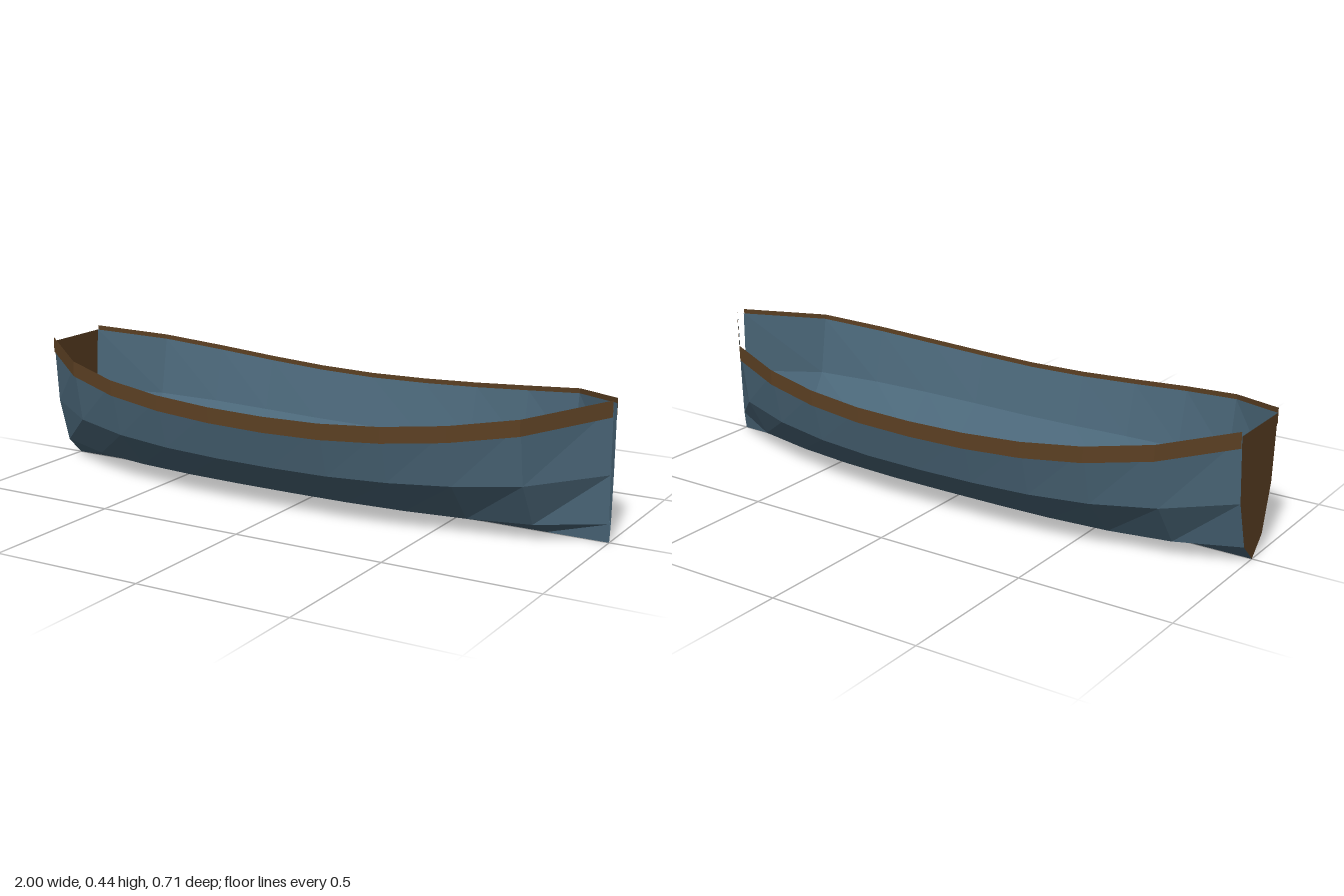
import * as THREE from 'three';

// half widths of the hull at eleven stations from stern (x = -1) to bow (x = 1)
const HALF = [0.12, 0.262, 0.322, 0.345, 0.35, 0.35, 0.349, 0.333, 0.296, 0.225, 0.015];
// cross-section from one gunwale under the keel to the other: [width share, height share]
const SECTION = [[-1, 1], [-0.87, 0.5], [-0.5, 0.14], [0, 0], [0.5, 0.14], [0.87, 0.5], [1, 1]];

const stationX = (i) => -1 + 0.2 * i;
const sheer = (x) => 0.32 + 0.105 * x * x;

const ringAt = (i) => SECTION.map(([w, h]) =>
  [stationX(i), h * sheer(stationX(i)), w * HALF[i]]);

// joins neighbouring rows of points with flat-shaded triangles
function loft(rows) {
  const pos = [];
  for (let i = 0; i < rows.length - 1; i++) {
    for (let j = 0; j < rows[i].length - 1; j++) {
      const a = rows[i][j], b = rows[i + 1][j], c = rows[i + 1][j + 1], d = rows[i][j + 1];
      pos.push(...a, ...b, ...c, ...a, ...c, ...d);
    }
  }
  return fromTriangles(pos);
}

function fromTriangles(pos) {
  const g = new THREE.BufferGeometry();
  g.setAttribute('position', new THREE.Float32BufferAttribute(pos, 3));
  g.computeVertexNormals();
  return g;
}

export function createModel() {
  const boat = new THREE.Group();
  boat.name = 'rowingBoat';

  const paint = new THREE.MeshStandardMaterial({ color: 0x4a6678, side: THREE.DoubleSide, flatShading: true });
  paint.name = 'blue paint';
  const wood = new THREE.MeshStandardMaterial({ color: 0x5c4023, side: THREE.DoubleSide, flatShading: true });
  wood.name = 'dark wood';

  const add = (name, geometry, material) => {
    const mesh = new THREE.Mesh(geometry, material);
    mesh.name = name;
    boat.add(mesh);
  };

  // open shell of the hull
  const rings = HALF.map((_, i) => ringAt(i));
  add('hull', loft(rings), paint);

  // flat board closing the stern
  const stern = rings[0];
  const board = [];
  for (let j = 1; j < stern.length - 1; j++) board.push(...stern[0], ...stern[j], ...stern[j + 1]);
  add('transom', fromTriangles(board), wood);

  // upright rubbing strake along each gunwale
  for (const side of [1, -1]) {
    const rows = HALF.map((w, i) => {
      const x = stationX(i), z = side * (w + 0.003);
      const low = [x, sheer(x) - 0.036, z], high = [x, sheer(x) + 0.015, z];
      return side > 0 ? [low, high] : [high, low];
    });
    add(side > 0 ? 'frontGunwale' : 'backGunwale', loft(rows), wood);
  }

  return boat;
}
